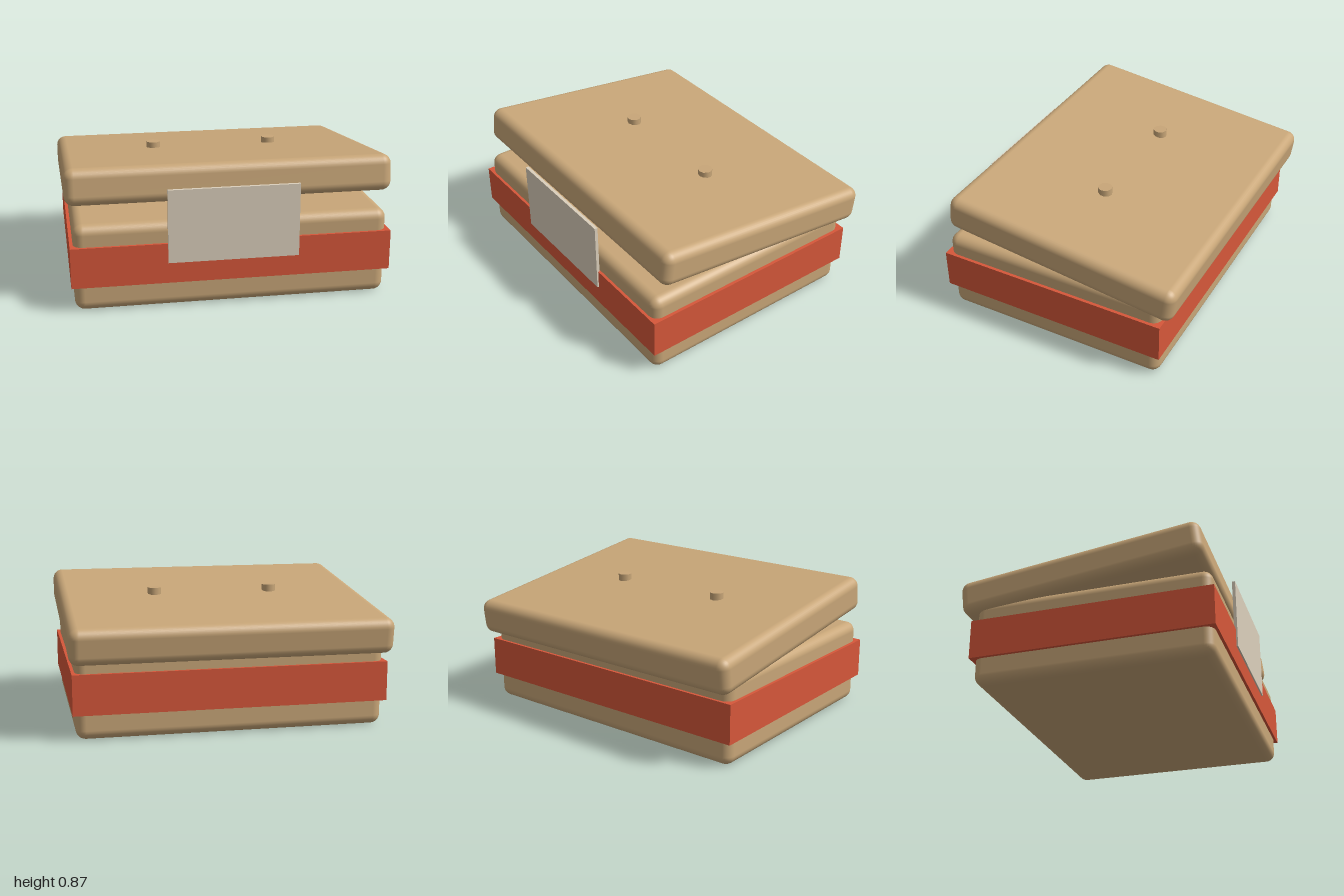
import * as THREE from 'three';
import { RoundedBoxGeometry } from 'three/addons/geometries/RoundedBoxGeometry.js';

function material(name, color) {
  const m = new THREE.MeshStandardMaterial({ color });
  m.name = name;
  return m;
}

export function createModel() {
  const group = new THREE.Group();
  const wood = material('tan wood', 0xc8a678);
  const red = material('red band', 0xd6573a);
  const paper = material('pale label', 0xdcd0bc);

  const add = (name, geometry, mat, x, y, z) => {
    const mesh = new THREE.Mesh(geometry, mat);
    mesh.name = name;
    mesh.position.set(x, y, z);
    group.add(mesh);
    return mesh;
  };

  // Rounded box body with a straight band around it
  add('body', new RoundedBoxGeometry(1.92, 0.54, 1.475, 4, 0.06), wood, 0, 0.27, 0.04);
  add('band', new THREE.BoxGeometry(1.96, 0.25, 1.51), red, 0, 0.285, 0.04);

  // Lid, raised at the front
  const lid = add('lid', new RoundedBoxGeometry(2, 0.226, 1.537, 4, 0.06), wood, 0, 0.668, -0.035);
  lid.rotation.x = -0.12;

  // Upright label on the front
  add('label', new THREE.BoxGeometry(0.8, 0.455, 0.02), paper, 0, 0.5175, 0.795);

  // Two pegs through the lid
  for (const side of [-1, 1]) {
    add(side > 0 ? 'leftPeg' : 'rightPeg',
      new THREE.CylinderGeometry(0.045, 0.045, 0.32, 10), wood, side * 0.385, 0.662, -0.038);
  }
  return group;
}
